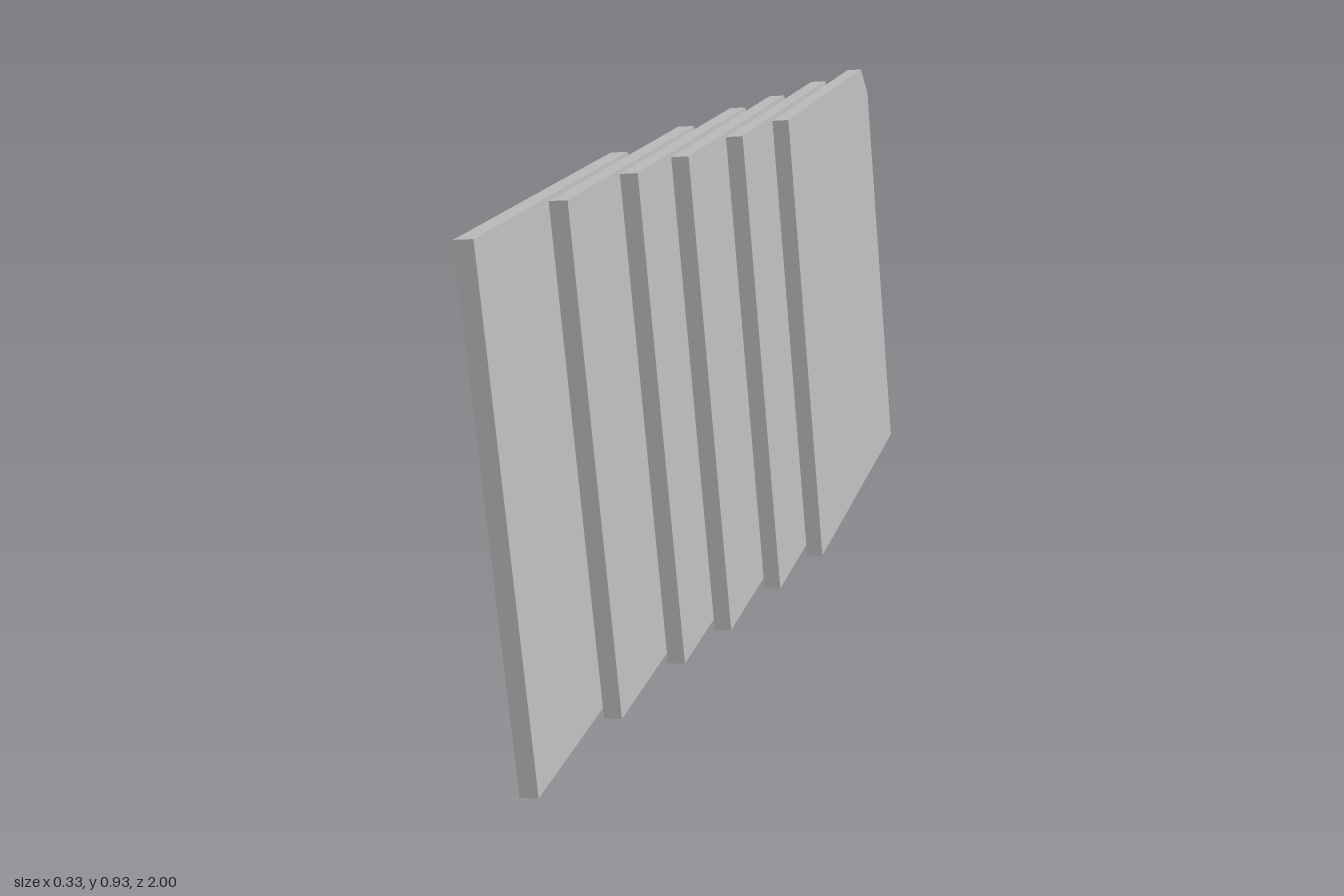
import * as THREE from 'three';

export function createModel() {
  const group = new THREE.Group();
  group.name = 'staggeredPanels';
  const gray = new THREE.MeshStandardMaterial({ color: 0xbfbfbf });
  gray.name = 'plain gray';

  // Panel axes: length runs backward, height leans to the right, thickness points left
  const back = new THREE.Vector3(-0.041, 0.008, -0.999).normalize();
  const side = back.clone().cross(new THREE.Vector3(-0.085, 0.996, 0.0115)).normalize();
  const up = side.clone().cross(back).normalize();

  // Panel outline with its upper back corner cut off
  const length = 0.863, height = 0.898, thickness = 0.032, cut = 0.062;
  const outline = new THREE.Shape([
    new THREE.Vector2(0, 0),
    new THREE.Vector2(length, 0),
    new THREE.Vector2(length, height - cut),
    new THREE.Vector2(length - cut, height),
    new THREE.Vector2(0, height),
  ]);
  const panelGeometry = new THREE.ExtrudeGeometry(outline, { depth: thickness, bevelEnabled: false });

  // Six equal panels, evenly spaced sideways and slid back by uneven steps
  const pitch = 0.047;
  const slides = [0, 0.303, 0.546, 0.709, 0.927, 1.117];
  slides.forEach((slide, i) => {
    const panel = new THREE.Mesh(panelGeometry, gray);
    panel.name = `panel${i + 1}`;
    panel.quaternion.setFromRotationMatrix(new THREE.Matrix4().makeBasis(back, up, side));
    panel.position.set(-0.054, 0, 0.99).addScaledVector(side, pitch * i).addScaledVector(back, slide);
    group.add(panel);
  });
  return group;
}
